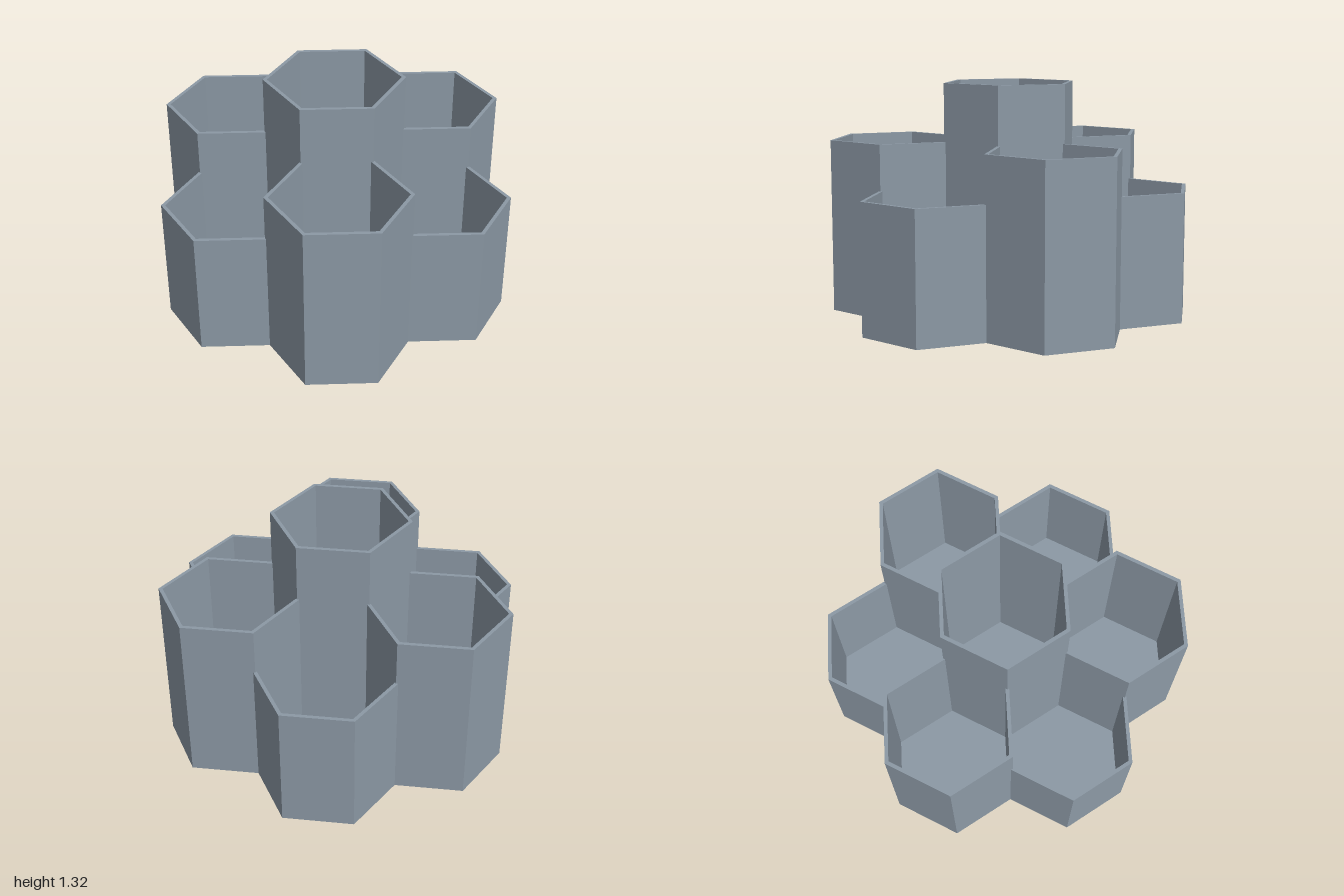
import * as THREE from 'three';

const APOTHEM = 0.34;   // outer half-width across flats
const WALL = 0.02;
const FLOOR = 0.02;
const PITCH = 2 * APOTHEM - WALL; // neighbours share one wall thickness

// Open hexagonal cup with a closed floor, corners pointing along z
function hexCup(height) {
  const toCorner = 1 / Math.cos(Math.PI / 6);
  const outer = APOTHEM * toCorner;
  const inner = (APOTHEM - WALL) * toCorner;
  const profile = [
    [0, 0], [outer, 0], [outer, height], [inner, height], [inner, FLOOR], [0, FLOOR],
  ].map(([r, y]) => new THREE.Vector2(r, y));
  const geometry = new THREE.LatheGeometry(profile, 6).toNonIndexed();
  geometry.computeVertexNormals(); // flat facets
  return geometry;
}

export function createModel() {
  const group = new THREE.Group();
  group.name = 'hexagonOrganizer';
  const slate = new THREE.MeshStandardMaterial({ color: 0x8c99a5 });
  slate.name = 'slateGrey';

  const addCup = (name, height, x, z) => {
    const cup = new THREE.Mesh(hexCup(height), slate);
    cup.name = name;
    cup.position.set(x, 0, z);
    group.add(cup);
  };

  // Tall centre cup
  addCup('centreCup', 1.32, 0, 0);

  // Ring of six cups, alternating low and medium
  const names = ['leftCup', 'frontLeftCup', 'frontRightCup', 'rightCup', 'backRightCup', 'backLeftCup'];
  names.forEach((name, i) => {
    const angle = (i * Math.PI) / 3;
    addCup(name, i % 2 ? 0.99 : 0.73, PITCH * Math.cos(angle), PITCH * Math.sin(angle));
  });

  return group;
}
